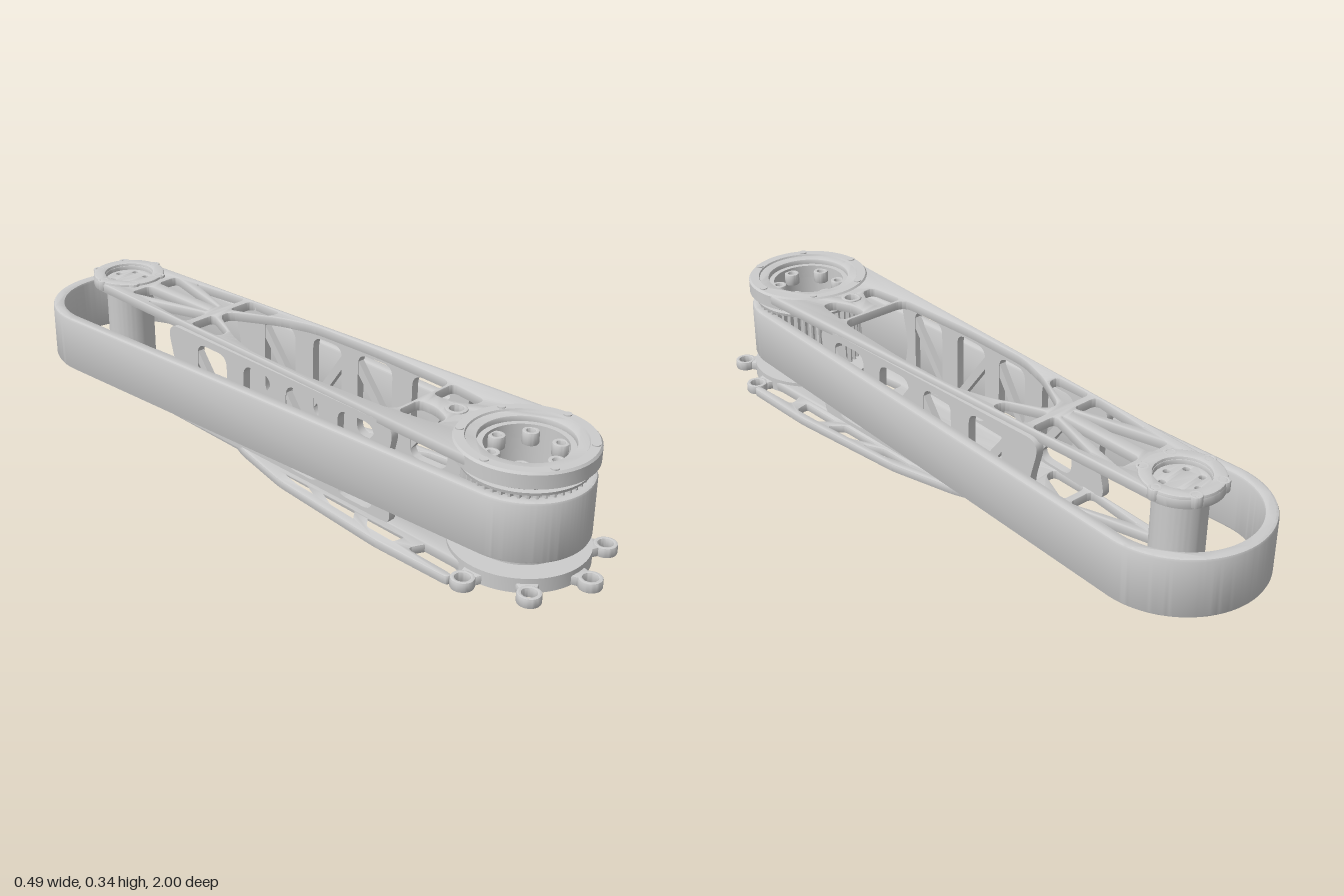
import * as THREE from 'three';
import { toCreasedNormals } from 'three/addons/utils/BufferGeometryUtils.js';

const REAR = -0.765, FRONT = 0.753;
const material = new THREE.MeshStandardMaterial({ color: 0xcccccc });

export function createModel() {
  const model = new THREE.Group();

  const add = (name, geometry) => {
    const mesh = new THREE.Mesh(toCreasedNormals(geometry, 0.6), material);
    mesh.name = name;
    model.add(mesh);
    return mesh;
  };

  // Outline around a rear and a front circle, joined by tangents (x, z)
  const capsule = (rRear, rFront, Type = THREE.Shape) => {
    const a = Math.asin((rRear - rFront) / (FRONT - REAR));
    const p = new Type();
    p.absarc(0, FRONT, rFront, a, Math.PI - a, false);
    p.absarc(0, REAR, rRear, Math.PI - a, 2 * Math.PI + a, false);
    p.closePath();
    return p;
  };
  const circle = (x, z, r, Type = THREE.Path) => new Type().absarc(x, z, r, 0, Math.PI * 2, false);

  // Polygon with rounded corners
  const rounded = (pts, r, Type = THREE.Path) => {
    const v = pts.map(([x, y]) => new THREE.Vector2(x, y));
    const p = new Type();
    v.forEach((c, i) => {
      const toward = (q) => {
        const d = q.clone().sub(c);
        return c.clone().addScaledVector(d.normalize(), Math.min(r, c.distanceTo(q) * 0.45));
      };
      const s = toward(v[(i + v.length - 1) % v.length]);
      const e = toward(v[(i + 1) % v.length]);
      if (i) p.lineTo(s.x, s.y); else p.moveTo(s.x, s.y);
      p.quadraticCurveTo(c.x, c.y, e.x, e.y);
    });
    p.closePath();
    return p;
  };
  const flip = (pts, s) => pts.map(([x, z]) => [x * s, z]);

  // Horizontal slab from y0 to y1
  const slab = (name, shape, y0, y1, bevel = 0.004, curveSegments = 24) => {
    const g = new THREE.ExtrudeGeometry(shape, {
      depth: y1 - y0 - 2 * bevel, bevelEnabled: bevel > 0, bevelThickness: bevel,
      bevelSize: bevel, bevelOffset: -bevel, bevelSegments: 2, curveSegments,
    });
    g.rotateX(Math.PI / 2).translate(0, y1 - bevel, 0);
    return add(name, g);
  };

  // Turned ring; profile runs up the outside and down the bore
  const turned = (name, profile, z) => {
    const pts = [...profile, profile[0]].map(([r, y]) => new THREE.Vector2(r, y));
    return add(name, new THREE.LatheGeometry(pts, 64).translate(0, 0, z));
  };

  // Drive belt
  const belt = capsule(0.235, 0.175);
  belt.holes.push(capsule(0.2, 0.14, THREE.Path));
  slab('belt', belt, 0.088, 0.255, 0.008, 48);

  // Upper and lower arm plates with truss windows
  const windows = [
    [[0.018, -0.645], [0.088, -0.645], [0.018, -0.37]],
    [[0.094, -0.56], [0.116, -0.365], [0.032, -0.365]],
    [[0.03, -0.342], [0.116, -0.342], [0.118, -0.22], [0.08, -0.225]],
    [[0.026, 0.435], [0.108, 0.435], [0.092, 0.55], [0.055, 0.55], [0.026, 0.49]],
  ];
  const opening = [[0.018, -0.325], [0.09, -0.19], [0.122, -0.08], [0.126, 0.15], [0.112, 0.425]];
  const armPlate = (name, y0, y1, open) => {
    const s = capsule(0.108, 0.175);
    s.holes.push(circle(0, REAR, 0.07), circle(0, FRONT, 0.12), circle(0, 0.535, 0.018));
    for (const side of [1, -1]) for (const w of windows) s.holes.push(rounded(flip(w, side), 0.02));
    if (open) s.holes.push(rounded([...opening, ...flip(opening, -1).reverse()], 0.035));
    slab(name, s, y0, y1);
  };
  armPlate('upperPlate', 0.305, 0.333, true);
  armPlate('lowerPlate', 0.014, 0.042, false);
  for (const [y0, y1] of [[0.3, 0.337], [0.012, 0.047]]) {
    const boss = circle(0, 0.535, 0.03, THREE.Shape);
    boss.holes.push(circle(0, 0.535, 0.018));
    slab('frontBoss', boss, y0, y1);
  }

  // Side walls: posts and diagonals that follow the taper of the plates
  const bays = [[0.275, 0.405], [0.08, 0.205], [-0.09, 0.02], [-0.285, -0.16]];
  for (const side of [1, -1]) {
    const lean = (g) => {
      const p = g.attributes.position;
      for (let i = 0; i < p.count; i++) p.setX(i, p.getX(i) + side * (0.137 + 0.027 * p.getZ(i)));
      return g;
    };
    const wall = rounded([[-0.42, 0.03], [-0.38, 0.17], [-0.42, 0.318], [0.475, 0.318], [0.44, 0.17], [0.475, 0.03]], 0.05, THREE.Shape);
    for (const [a, b] of bays) wall.holes.push(rounded([[a, 0.05], [b, 0.05], [b, 0.297], [a, 0.297]], 0.035));
    const g = new THREE.ExtrudeGeometry(wall, { depth: 0.024, bevelEnabled: false, curveSegments: 6 });
    add('sideWall', lean(g.translate(0, 0, -0.012).rotateY(-Math.PI / 2)));
    bays.forEach(([a, b], i) => {
      const h = 0.19, w = b - a + 0.02;
      const bar = new THREE.BoxGeometry(0.02, Math.hypot(h, w), 0.024);
      bar.rotateX(Math.atan2(w, h) * (i % 2 ? -1 : 1)).translate(0, 0.172, (a + b) / 2);
      add('sideDiagonal', lean(bar));
    });
  }

  // Front bearing rings
  turned('upperFrontRing', [[0.12, 0.28], [0.168, 0.288], [0.18, 0.295], [0.18, 0.332], [0.175, 0.338],
    [0.15, 0.338], [0.145, 0.327], [0.125, 0.327], [0.12, 0.318], [0.105, 0.318], [0.105, 0.28]], FRONT);
  turned('lowerFrontRing', [[0.113, 0.002], [0.113, 0.01], [0.18, 0.012], [0.18, 0.052], [0.12, 0.052],
    [0.105, 0.052], [0.105, 0.002]], FRONT);

  // Toothed pulley on a hollow hub
  turned('pulleyHub', [[0.12, 0.05], [0.12, 0.295], [0.105, 0.295], [0.105, 0.05]], FRONT);
  turned('pulleyFlange', [[0.16, 0.267], [0.162, 0.275], [0.115, 0.278], [0.115, 0.267]], FRONT);
  const gear = new THREE.Shape(), teeth = 44;
  for (let i = 0; i < teeth * 4; i++) {
    const a = (i / (teeth * 4)) * Math.PI * 2, r = i % 4 < 2 ? 0.155 : 0.143;
    gear[i ? 'lineTo' : 'moveTo'](r * Math.cos(a), FRONT + r * Math.sin(a));
  }
  gear.closePath();
  gear.holes.push(circle(0, FRONT, 0.115));
  slab('pulleyTeeth', gear, 0.078, 0.267, 0);

  // Bolt lugs inside the bore and bolt heads around the ring
  for (let i = 0; i < 6; i++) {
    const a = Math.PI / 2 + (i * Math.PI) / 3, c = Math.cos(a), s = Math.sin(a);
    for (const [y0, y1] of [[0.275, 0.31], [0.006, 0.04]]) {
      const lug = circle(0.09 * c, FRONT + 0.09 * s, 0.022, THREE.Shape);
      lug.holes.push(circle(0.09 * c, FRONT + 0.09 * s, 0.011));
      slab('boreLug', lug, y0, y1, 0.003, 10);
    }
    const b = a + Math.PI / 6;
    add('ringBolt', new THREE.CylinderGeometry(0.011, 0.011, 0.012, 16)
      .translate(0.163 * Math.cos(b), 0.335, FRONT + 0.163 * Math.sin(b)));
  }

  // Rear axle hub with a bolted cap at each end
  turned('rearHub', [[0.07, 0.03], [0.07, 0.31], [0.062, 0.31], [0.062, 0.03]], REAR);
  for (const [y0, y1, f0, f1] of [[0.311, 0.34, 0.308, 0.32], [0.002, 0.031, 0.022, 0.034]]) {
    const rim = circle(0, REAR, 0.107, THREE.Shape);
    rim.holes.push(circle(0, REAR, 0.072));
    const floor = circle(0, REAR, 0.078, THREE.Shape);
    for (let i = 0; i < 6; i++) {
      const a = (i * Math.PI) / 3, c = Math.cos(a), s = Math.sin(a);
      floor.holes.push(circle(0.05 * s, REAR + 0.05 * c, 0.009));
      const ear = circle(0.097 * c, REAR + 0.097 * s, 0.018, THREE.Shape);
      ear.holes.push(circle(0.097 * c, REAR + 0.097 * s, 0.009));
      slab('rearCapEar', ear, y0 - 0.001, y1 + 0.0005, 0.003, 10);
    }
    slab('rearCapRim', rim, y0, y1);
    slab('rearCapFloor', floor, f0, f1, 0.001);
  }

  // Mounting lugs around the lower front ring
  for (const [x, z] of [[0, 0.967], [0.155, 0.903], [-0.155, 0.903], [0.215, 0.75], [-0.215, 0.75]]) {
    const lug = circle(x, z, 0.031, THREE.Shape);
    lug.holes.push(circle(x, z, 0.019));
    slab('mountLug', lug, 0.011, 0.039, 0.004, 14);
    const dx = x, dz = z - FRONT, d = Math.hypot(dx, dz), n = [-dz / d, dx / d];
    const at = (t, w) => [dx * t + n[0] * w, FRONT + dz * t + n[1] * w];
    const end = (d - 0.021) / d, start = 0.13 / d;
    slab('lugWeb', rounded([at(start, -0.045), at(end, -0.022), at(end, 0.022), at(start, 0.045)], 0.004, THREE.Shape), 0.012, 0.038);
  }

  // Side wings of the lower plate
  const wing = [[0.125, -0.16], [0.15, -0.1], [0.2, 0.1], [0.24, 0.48], [0.243, 0.725], [0.222, 0.725],
    [0.212, 0.57], [0.15, 0.6], [0.125, 0.3]];
  const wingWindows = [
    [[0.163, 0.06], [0.187, 0.15], [0.195, 0.24], [0.165, 0.18]],
    [[0.165, 0.22], [0.2, 0.29], [0.21, 0.39], [0.17, 0.36]],
    [[0.175, 0.4], [0.213, 0.43], [0.219, 0.53], [0.178, 0.54]],
  ];
  for (const side of [1, -1]) {
    const s = rounded(flip(wing, side), 0.02, THREE.Shape);
    for (const w of wingWindows) s.holes.push(rounded(flip(w, side), 0.012));
    slab('lowerWing', s, 0.013, 0.038);
  }

  return model;
}
